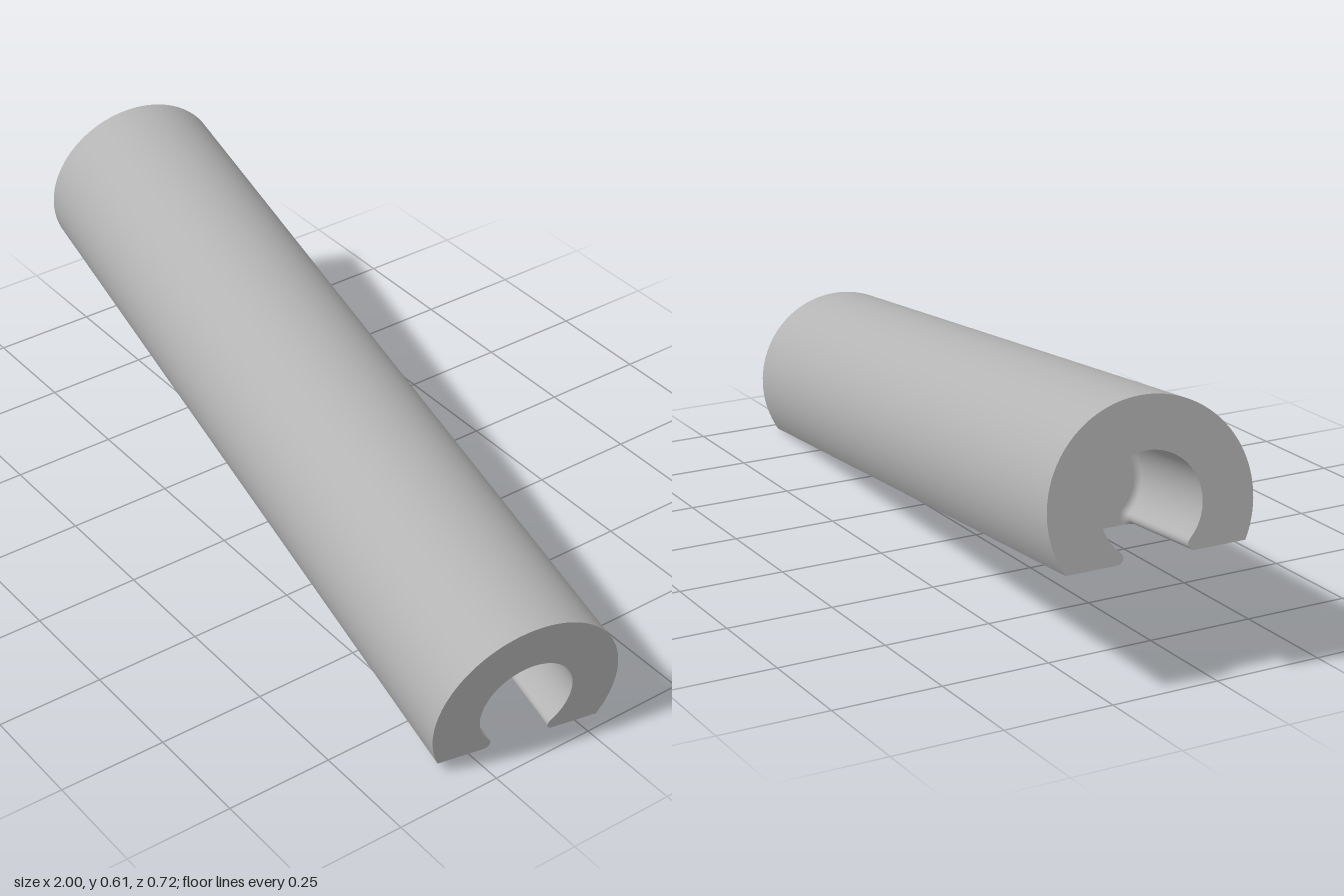
import * as THREE from 'three';

const R = 0.224;      // outer radius
const FLAT = 0.107;   // distance from axis to the flat underside
const HALF = 0.975;   // half length
const BORE = 0.112;   // pocket radius
const LIP = 0.014;    // rounded lip radius
const DEPTH = 0.3;    // pocket depth
const FILLET = 0.015; // rounding at the pocket floor

const W = Math.sqrt(R * R - FLAT * FLAT);
const cornerAngle = Math.asin(FLAT / R);

function arc(cx, cy, r, a0, a1, n) {
  const pts = [];
  for (let i = 0; i <= n; i++) {
    const a = a0 + (a1 - a0) * i / n;
    pts.push(new THREE.Vector2(cx + r * Math.cos(a), cy + r * Math.sin(a)));
  }
  return pts;
}

// Open keyhole outline, shrunk by an inset: right lip, over the bore, left lip
function pocketOutline(inset) {
  const cy = LIP - FLAT;
  const cx = Math.sqrt((BORE + LIP) ** 2 - cy * cy);
  const phi = Math.atan2(cy, cx);
  const lip = arc(cx, cy, LIP + inset, Math.PI + Math.asin(LIP / (LIP + inset)), Math.PI + phi, 10);
  const bore = arc(0, 0, BORE - inset, phi, Math.PI - phi, 48);
  const mirrored = lip.map(p => new THREE.Vector2(-p.x, p.y)).reverse();
  return [...lip, ...bore.slice(1, -1), ...mirrored];
}

// Pocket sections from the mouth to the floor, with a rounded inner corner
const sections = [{ x: HALF, pts: pocketOutline(0) }];
for (let i = 0; i <= 6; i++) {
  const a = (i / 6) * Math.PI / 2;
  sections.push({
    x: HALF - DEPTH + FILLET * (1 - Math.sin(a)),
    pts: pocketOutline(FILLET * (1 - Math.cos(a))),
  });
}

function pocketWall() {
  const pos = [], idx = [], n = sections[0].pts.length;
  for (const s of sections) for (const p of s.pts) pos.push(s.x, p.y, -p.x);
  for (let j = 0; j < sections.length - 1; j++) {
    for (let i = 0; i < n - 1; i++) {
      const a = j * n + i, b = a + 1, c = a + n, d = c + 1;
      idx.push(a, b, c, b, d, c);
    }
  }
  const g = new THREE.BufferGeometry();
  g.setAttribute('position', new THREE.Float32BufferAttribute(pos, 3));
  g.setIndex(idx);
  g.computeVertexNormals();
  return g;
}

// Flat face across the axis
function crossFace(pts, x) {
  return new THREE.ShapeGeometry(new THREE.Shape(pts)).rotateY(Math.PI / 2).translate(x, 0, 0);
}

export function createModel() {
  const grey = new THREE.MeshStandardMaterial({ color: 0xb4b4b4 });
  grey.name = 'grey';
  const model = new THREE.Group();
  model.name = 'slottedRod';
  const rod = new THREE.Group();
  rod.name = 'rod';
  model.add(rod);

  const add = (parent, name, geometry) => {
    const mesh = new THREE.Mesh(geometry, grey);
    mesh.name = name;
    parent.add(mesh);
  };

  // Round outer skin, open along the underside
  add(rod, 'outerSkin', new THREE.CylinderGeometry(R, R, 2 * HALF, 64, 1, true,
    Math.PI - cornerAngle, Math.PI + 2 * cornerAngle).rotateZ(-Math.PI / 2));

  // Flat underside with a notch at each end
  const side = sections.map(s => new THREE.Vector2(s.x, -s.pts[0].x));
  const notch = [...side, ...side.map(p => new THREE.Vector2(p.x, -p.y)).reverse()];
  const underside = [
    new THREE.Vector2(HALF, -W), ...notch, new THREE.Vector2(HALF, W),
    new THREE.Vector2(-HALF, W), ...notch.map(p => new THREE.Vector2(-p.x, -p.y)),
    new THREE.Vector2(-HALF, -W),
  ];
  add(rod, 'underside', new THREE.ShapeGeometry(new THREE.Shape(underside))
    .rotateX(Math.PI / 2).translate(0, -FLAT, 0));

  // End face, pocket wall and pocket floor, repeated at both ends
  const ring = [
    ...arc(0, 0, R, -cornerAngle, Math.PI + cornerAngle, 64),
    ...pocketOutline(0).reverse(),
  ];
  const floor = sections[sections.length - 1];
  for (const [name, turn] of [['leftEnd', 0], ['rightEnd', Math.PI]]) {
    const end = new THREE.Group();
    end.name = name;
    end.rotation.y = turn;
    add(end, 'endFace', crossFace(ring, HALF));
    add(end, 'pocketWall', pocketWall());
    add(end, 'pocketFloor', crossFace(floor.pts, floor.x));
    rod.add(end);
  }

  // Tilt the rod: length axis, then sideways direction of the flat
  const axis = new THREE.Vector3(0.98, -0.1384, 0.1425).normalize();
  const up = new THREE.Vector3(-0.134, 0.0603, 0.989).cross(axis).normalize();
  const across = axis.clone().cross(up);
  rod.quaternion.setFromRotationMatrix(new THREE.Matrix4().makeBasis(axis, up, across));
  rod.position.y = 0.255;
  return model;
}
